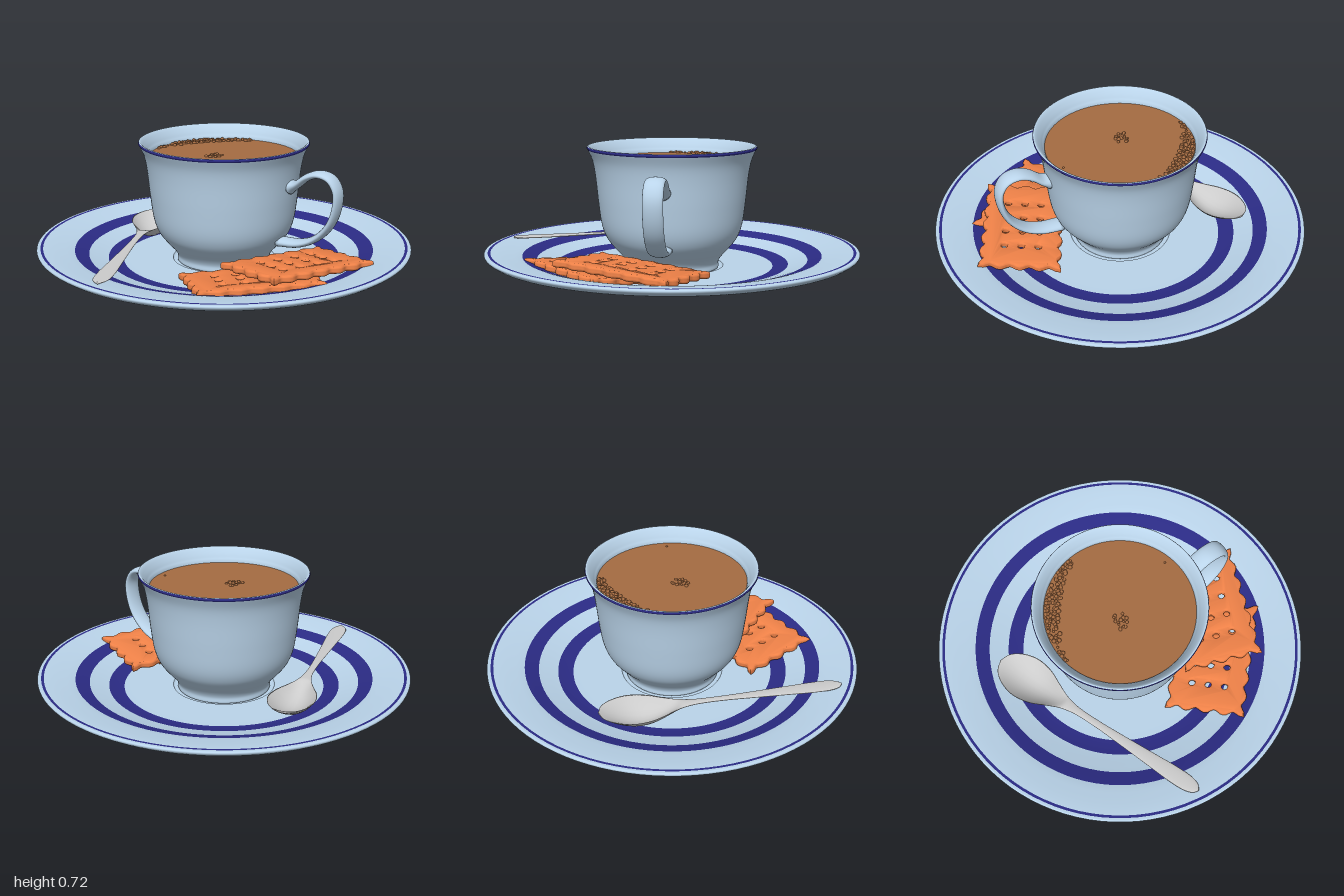
import * as THREE from 'three';
import { mergeGeometries, toCreasedNormals } from 'three/addons/utils/BufferGeometryUtils.js';

const mat = (color) => new THREE.MeshStandardMaterial({ color, side: THREE.DoubleSide });
const porcelain = mat(0xbad4ea), navy = mat(0x2b2b85), coffeeMat = mat(0xa56c42);
const biscuitMat = mat(0xf08248), metal = mat(0xcccccc);

function add(parent, name, geometry, material) {
  const mesh = new THREE.Mesh(geometry, material);
  mesh.name = name;
  parent.add(mesh);
  return mesh;
}

const vec2 = (pts) => pts.map(([x, y]) => new THREE.Vector2(x, y));
const smooth = (pts, n) => new THREE.SplineCurve(vec2(pts)).getPoints(n)
  .map((p) => p.set(Math.max(p.x, 0), Math.max(p.y, 0)));
const lathe = (pts) => new THREE.LatheGeometry(pts, 96);

// Closed skin over a row of equal-sized cross-section rings
function loft(rings) {
  const n = rings[0].length, pos = [], index = [];
  rings.forEach((ring) => ring.forEach((p) => pos.push(p.x, p.y, p.z)));
  for (let i = 0; i < rings.length - 1; i++) {
    for (let j = 0; j < n; j++) {
      const a = i * n + j, b = i * n + (j + 1) % n;
      index.push(a, b, a + n, b, b + n, a + n);
    }
  }
  const last = (rings.length - 1) * n;
  for (let j = 1; j < n - 1; j++) {
    index.push(0, j + 1, j, last, last + j, last + j + 1);
  }
  const g = new THREE.BufferGeometry();
  g.setAttribute('position', new THREE.Float32BufferAttribute(pos, 3));
  g.setIndex(index);
  g.computeVertexNormals();
  return g;
}

// Height of the saucer's upper surface at radius r
const saucerTop = (r) => 0.072 + 0.058 * THREE.MathUtils.smoothstep(r, 0.52, 0.84)
  + 0.034 * THREE.MathUtils.smoothstep(r, 0.7, 1);

function makeSaucer() {
  const g = new THREE.Group();
  g.name = 'saucer';
  const foot = smooth([[0.235, 0.022], [0.245, 0.004], [0.262, 0], [0.28, 0.008], [0.3, 0.03]], 16);
  const under = smooth([[0.3, 0.03], [0.42, 0.037], [0.58, 0.048], [0.68, 0.068], [0.78, 0.092],
    [0.88, 0.108], [0.96, 0.125], [0.992, 0.143], [1, 0.155], [0.995, 0.163], [0.985, saucerTop(0.985)]], 50);
  add(g, 'saucerUnderside', lathe([new THREE.Vector2(0, 0.022), ...foot, ...under.slice(1)]), porcelain);
  // Upper surface in glazed rings, from the rim inwards
  const radii = [0.985, 0.98, 0.966, 0.8, 0.725, 0.622, 0.54, 0.275];
  for (let i = 0; i < radii.length - 1; i++) {
    const pts = [];
    for (let k = 0; k <= 12; k++) {
      const r = THREE.MathUtils.lerp(radii[i], radii[i + 1], k / 12);
      pts.push(new THREE.Vector2(r, saucerTop(r)));
    }
    add(g, i % 2 ? 'blueRing' : 'saucerGlaze', lathe(pts), i % 2 ? navy : porcelain);
  }
  add(g, 'cupWell', lathe(vec2([[0.275, 0.072], [0.266, 0.06], [0, 0.06]])), porcelain);
  return g;
}

function makeCup() {
  const g = new THREE.Group();
  g.name = 'cup';
  const outer = smooth([[0.235, 0.06], [0.25, 0.066], [0.25, 0.095], [0.268, 0.128], [0.31, 0.175], [0.35, 0.228],
    [0.376, 0.3], [0.393, 0.42], [0.408, 0.56], [0.423, 0.64], [0.447, 0.698]], 60);
  add(g, 'cupWall', lathe([new THREE.Vector2(0, 0.06), ...outer]), porcelain);
  add(g, 'cupBlueRim', lathe(smooth([[0.447, 0.698], [0.452, 0.706], [0.449, 0.714]], 8)), navy);
  add(g, 'cupInside', lathe(smooth([[0.449, 0.714], [0.441, 0.715], [0.425, 0.698], [0.405, 0.665],
    [0.39, 0.62], [0.378, 0.45], [0.355, 0.3], [0.28, 0.18], [0, 0.14]], 50)), porcelain);

  // Ear-shaped handle, thicker where it meets the wall
  const path = new THREE.CatmullRomCurve3([[0.395, 0.515], [0.44, 0.535], [0.5, 0.58], [0.565, 0.602], [0.63, 0.585],
    [0.668, 0.525], [0.664, 0.43], [0.625, 0.335], [0.55, 0.26], [0.46, 0.222], [0.34, 0.213]]
    .map(([x, y]) => new THREE.Vector3(x, y, 0)));
  const rings = [];
  for (let i = 0; i <= 60; i++) {
    const t = i / 60, p = path.getPoint(t), d = path.getTangent(t);
    const thick = 0.019 + 0.022 * Math.max(0, 1 - t / 0.16) ** 2 + 0.006 * Math.max(0, (t - 0.85) / 0.15);
    rings.push(Array.from({ length: 20 }, (_, j) => {
      const a = j / 20 * Math.PI * 2, c = thick * Math.cos(a);
      return new THREE.Vector3(p.x - d.y * c, p.y + d.x * c, 0.051 * Math.sin(a));
    }));
  }
  add(g, 'cupHandle', loft(rings), porcelain);
  return g;
}

function makeCoffee() {
  const g = new THREE.Group();
  g.name = 'coffee';
  const level = 0.636;
  add(g, 'coffeeSurface', new THREE.CircleGeometry(0.393, 96).rotateX(-Math.PI / 2).translate(0, level, 0), coffeeMat);
  let seed = 7;
  const rand = () => (seed = (seed * 16807) % 2147483647) / 2147483647;
  const bubbles = [];
  const bubble = (x, z, r) => bubbles.push(
    new THREE.SphereGeometry(r, 8, 4, 0, Math.PI * 2, 0, Math.PI / 2).translate(x, level, z));
  // Froth along the back right edge, densest in the middle of the arc
  for (let i = 0; i < 170; i++) {
    const t = (rand() + rand()) / 2, a = THREE.MathUtils.lerp(2.9, 4.75, t);
    const r = 0.383 - rand() ** 1.6 * 0.075 * Math.sin(t * Math.PI);
    bubble(r * Math.cos(a), r * Math.sin(a), 0.005 + 0.007 * rand());
  }
  // Small cluster near the middle
  for (let i = 0; i < 18; i++) {
    const a = rand() * Math.PI * 2, r = 0.045 * Math.sqrt(rand());
    bubble(-0.03 + r * Math.cos(a), 0.05 + r * Math.sin(a), 0.006 + 0.005 * rand());
  }
  bubble(0.345, -0.08, 0.006);
  add(g, 'bubbles', mergeGeometries(bubbles), coffeeMat);
  return g;
}

// Teaspoon along its own z: half width, height and distance from the bowl tip
function makeSpoon() {
  const spine = new THREE.CatmullRomCurve3([[0.004, 0.179, 0], [0.055, 0.179, 0.02], [0.096, 0.179, 0.07],
    [0.123, 0.178, 0.16], [0.11, 0.175, 0.26], [0.07, 0.173, 0.35], [0.04, 0.173, 0.42], [0.023, 0.174, 0.5],
    [0.02, 0.174, 0.64], [0.027, 0.172, 0.8], [0.038, 0.17, 1], [0.045, 0.169, 1.13], [0.042, 0.169, 1.22],
    [0.027, 0.169, 1.265], [0.004, 0.169, 1.285]].map((p) => new THREE.Vector3(...p)));
  const rings = spine.getPoints(90).map(({ x: w, y, z }) => {
    const dish = z < 0.43 ? 0.08 * Math.sin(Math.PI * z / 0.43) : 0;
    return Array.from({ length: 24 }, (_, j) => {
      const a = j / 24 * Math.PI * 2, c = Math.cos(a);
      return new THREE.Vector3(w * c, y - dish * (1 - c * c) + 0.006 * Math.sin(a), z);
    });
  });
  const spoon = new THREE.Mesh(loft(rings), metal);
  spoon.name = 'teaspoon';
  spoon.position.set(-0.6, 0, -0.285);
  spoon.rotation.y = Math.atan2(0.35, 0.94);
  return spoon;
}

// Scalloped biscuit with rounded edges and a grid of holes
function biscuitGeometry() {
  const a = 0.205, b = 0.315, pts = [];
  const corners = [[-a, -b], [a, -b], [a, b], [-a, b]];
  corners.forEach(([x0, y0], i) => {
    const [x1, y1] = corners[(i + 1) % 4], waves = i % 2 ? 6 : 4, n = waves * 8;
    const len = Math.hypot(x1 - x0, y1 - y0), nx = -(y1 - y0) / len, ny = (x1 - x0) / len;
    for (let k = 0; k < n; k++) {
      const t = k / n, inset = 0.011 * (1 - Math.cos(t * waves * Math.PI * 2));
      pts.push([x0 + (x1 - x0) * t + nx * inset, y0 + (y1 - y0) * t + ny * inset]);
    }
  });
  const shape = new THREE.Shape(vec2(pts));
  for (const u of [-0.09, 0, 0.09]) {
    for (const v of [-0.168, -0.056, 0.056, 0.168]) {
      shape.holes.push(new THREE.Path().absarc(u, v, 0.028, 0, Math.PI * 2, true));
    }
  }
  const g = new THREE.ExtrudeGeometry(shape, { depth: 0.012, bevelThickness: 0.013, bevelSize: 0.011,
    bevelSegments: 4, curveSegments: 8 });
  return toCreasedNormals(g.translate(0, 0, -0.006).rotateX(-Math.PI / 2), 0.8);
}

export function createModel() {
  const model = new THREE.Group();
  model.name = 'cupAndSaucer';
  model.add(makeSaucer(), makeCup(), makeCoffee(), makeSpoon());

  // Two biscuits, one leaning on the other: centre, short axis, long axis
  const biscuit = biscuitGeometry();
  [['upperBiscuit', [0.515, 0.15, 0.13], [0.925, 0.075, 0.38], [-0.4, 0.055, 0.915]],
    ['lowerBiscuit', [0.375, 0.107, 0.355], [0.707, 0.1, 0.707], [-0.707, 0, 0.707]],
  ].forEach(([name, centre, u, v]) => {
    const U = new THREE.Vector3(...u).normalize();
    const N = new THREE.Vector3(...v).cross(U).normalize();
    const V = U.clone().cross(N);
    add(model, name, biscuit, biscuitMat)
      .applyMatrix4(new THREE.Matrix4().makeBasis(U, N, V).setPosition(...centre));
  });
  return model;
}
